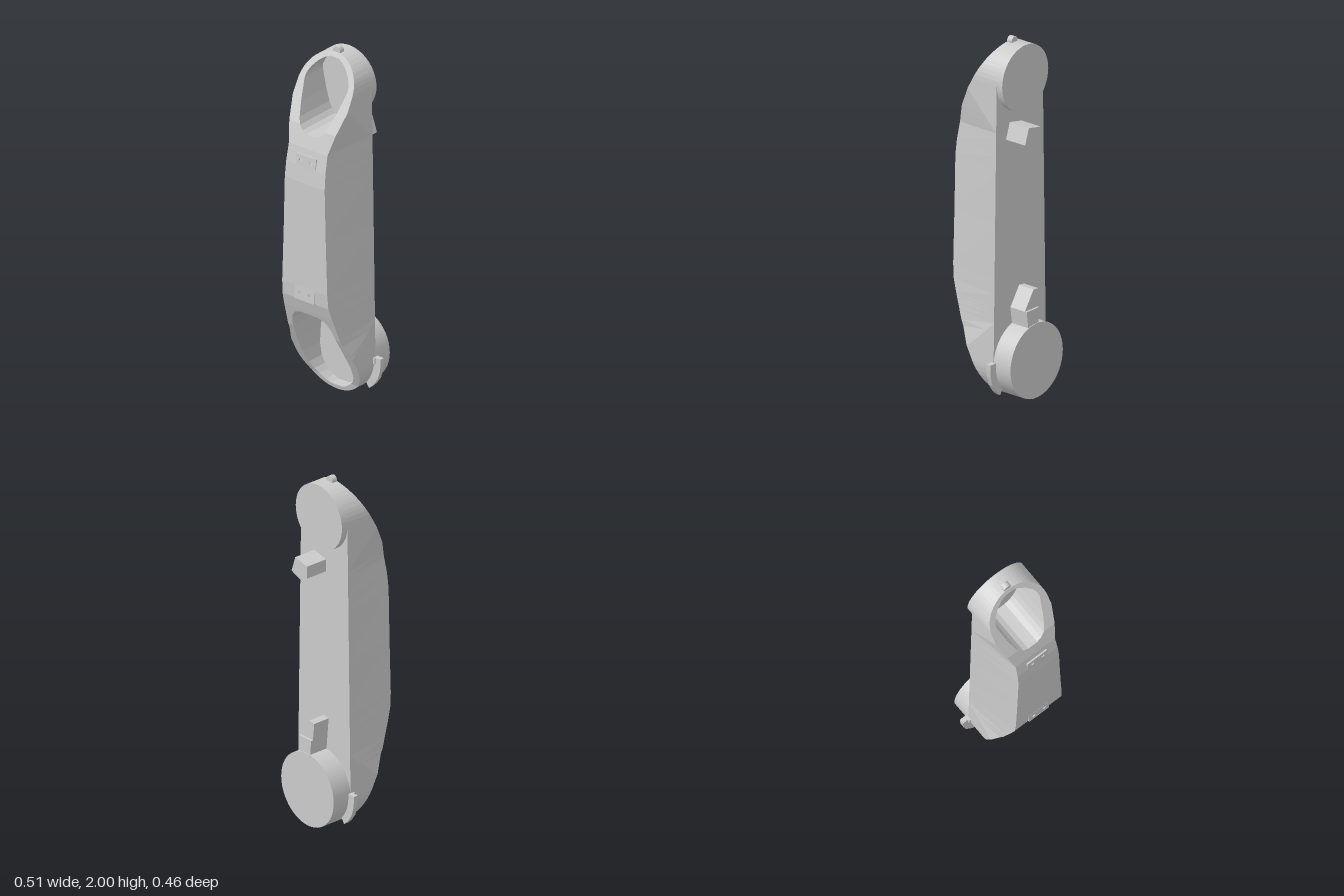
import * as THREE from 'three';

const grey = new THREE.MeshStandardMaterial({ color: 0xcccccc });
const BACK = -0.1, FLOOR = -0.095;
const TOP = { y: 1.785, r: 0.185 }, BOTTOM = { y: 0.21, r: 0.21 };

// front profile: [y, z]
const FRONT = [[0, -0.04], [0.07, -0.02], [0.4, 0.15], [0.54, 0.2], [0.61, 0.222], [0.69, 0.228],
  [1.3, 0.228], [1.39, 0.219], [1.49, 0.2], [1.6, 0.165], [1.97, -0.031]];
// half width of the front face: [y, x]
const FRONT_EDGE = [[0.28, 0.209], [0.37, 0.181], [0.61, 0.156], [1, 0.143], [1.49, 0.131], [1.72, 0.186]];
// where the upright round ends meet the planar slanting sides: [y, z]
const SHOULDER = [[0.28, 0.08], [0.45, BACK], [1.52, BACK], [1.72, 0.1]];
// pocket outlines: [y, half width]
const POCKETS = [
  [[0.027, 0.035], [0.04, 0.07], [0.065, 0.105], [0.09, 0.13], [0.13, 0.152], [0.2, 0.164], [0.3, 0.158],
    [0.4, 0.145], [0.45, 0.135], [0.48, 0.122], [0.505, 0.1], [0.52, 0.06]],
  [[1.56, 0.03], [1.572, 0.06], [1.595, 0.083], [1.63, 0.1], [1.7, 0.121], [1.81, 0.145], [1.835, 0.142],
    [1.87, 0.125], [1.905, 0.095], [1.93, 0.062], [1.945, 0.03]],
];

function lerpTable(table, y) {
  if (y <= table[0][0]) return table[0][1];
  for (let i = 1; i < table.length; i++) {
    const [y0, v0] = table[i - 1], [y1, v1] = table[i];
    if (y <= y1) return v0 + (v1 - v0) * (y - y0) / (y1 - y0);
  }
  return table[table.length - 1][1];
}

// outer half width: two round ends joined by straight tapering sides
function halfWidth(y) {
  const arc = (c) => Math.sqrt(Math.max(0, c.r * c.r - (y - c.y) ** 2));
  if (y < BOTTOM.y) return arc(BOTTOM);
  if (y > TOP.y) return arc(TOP);
  return lerpTable([[BOTTOM.y, BOTTOM.r], [TOP.y, TOP.r]], y);
}

// closed cross-section at height y, pocket included
function section(y) {
  const W = halfWidth(y), f = lerpTable(FRONT, y);
  const w = Math.min(W, lerpTable(FRONT_EDGE, y));
  const pocket = POCKETS.find((p) => y >= p[0][0] && y <= p[p.length - 1][0]);
  const h = pocket ? lerpTable(pocket, y) : 0;
  const floor = pocket ? FLOOR : f;
  const half = [[W, BACK], [W, Math.min(lerpTable(SHOULDER, y), f)], [w, f], [h, f], [h, floor]];
  const left = half.map(([x, z]) => [-x, z]).reverse();
  return [[0, BACK], ...half, [0, floor], ...left].map(([x, z]) => new THREE.Vector3(x, y, z));
}

function bodyGeometry() {
  const ys = [...FRONT, ...FRONT_EDGE, ...SHOULDER].map((p) => p[0]);
  for (let i = 0; i <= 12; i++) {
    const c = Math.cos(i / 12 * Math.PI / 2);
    ys.push(BOTTOM.y - BOTTOM.r * c, TOP.y + TOP.r * c);
  }
  for (const p of POCKETS) {
    ys.push(p[0][0] - 0.0005, p[p.length - 1][0] + 0.0005, ...p.map((q) => q[0]));
  }
  ys.sort((a, b) => a - b);
  const rows = ys.filter((y, i) => i === 0 || y - ys[i - 1] > 1e-5).map(section);
  const pos = [];
  const tri = (a, b, c) => {
    if (new THREE.Triangle(a, b, c).getArea() > 1e-9) for (const v of [a, b, c]) pos.push(v.x, v.y, v.z);
  };
  for (let r = 0; r + 1 < rows.length; r++) {
    const A = rows[r], B = rows[r + 1];
    for (let i = 0; i < A.length; i++) {
      const j = (i + 1) % A.length;
      tri(A[i], B[i], A[j]);
      tri(A[j], B[i], B[j]);
    }
  }
  // unshared corners give flat facets
  const g = new THREE.BufferGeometry();
  g.setAttribute('position', new THREE.Float32BufferAttribute(pos, 3));
  g.computeVertexNormals();
  return g;
}

// flat outline in x, y pushed from z0 to z1
function prism(points, z0, z1, holes = []) {
  const shape = new THREE.Shape(points.map(([x, y]) => new THREE.Vector2(x, y)));
  for (const [x, y, r] of holes) shape.holes.push(new THREE.Path().absarc(x, y, r, 0, Math.PI * 2, true));
  const g = new THREE.ExtrudeGeometry(shape, { depth: z1 - z0, bevelEnabled: false, curveSegments: 8 });
  return g.translate(0, 0, z0);
}

function disc(r, y, z0, z1, sides = 48) {
  return new THREE.CylinderGeometry(r, r, z1 - z0, sides).rotateX(Math.PI / 2).translate(0, y, (z0 + z1) / 2);
}

export function createModel() {
  const model = new THREE.Group();
  const add = (name, geometry) => {
    const mesh = new THREE.Mesh(geometry, grey);
    mesh.name = name;
    model.add(mesh);
    return mesh;
  };

  add('armBody', bodyGeometry());

  // round bosses on the back and the small nub on top
  add('upperBoss', disc(TOP.r, TOP.y, -0.138, -0.099));
  add('lowerBoss', disc(BOTTOM.r, BOTTOM.y, -0.217, -0.099));
  add('topNub', disc(0.024, 1.976, -0.065, -0.033, 20));

  // faceted peg behind the upper end
  add('backPeg', prism([[-0.015, 1.46], [0.03, 1.43], [0.11, 1.46], [0.08, 1.55], [-0.015, 1.53]], -0.232, -0.099));

  // leaning catch above the lower boss
  add('catchNeck', prism([[-0.015, 0.39], [0.06, 0.39], [0.075, 0.503], [-0.025, 0.503]], -0.213, -0.099));
  add('catchTip', prism([[-0.025, 0.503], [0.075, 0.503], [0.005, 0.608], [-0.035, 0.603]], -0.2, -0.099));

  // thin plates, nearly flush, with two screw holes each
  const plate = (name, y, z, height, tilt) => {
    const h = height / 2;
    const outline = [[-0.067, -h], [0.067, -h], [0.067, h], [-0.067, h]];
    const mesh = add(name, prism(outline, -0.012, 0, [[-0.035, 0, 0.011], [0.035, 0, 0.011]]));
    mesh.position.set(0, y, z);
    mesh.rotation.x = tilt;
  };
  plate('upperPlate', 1.422, 0.218, 0.066, -0.08);
  plate('lowerPlate', 0.652, 0.2297, 0.08, -0.03);

  // curved side clips with a small rib
  for (const s of [1, -1]) {
    const clip = [[0.195, 0.23], [0.195, 0.14], [0.15, 0.08], [0.175, 0.04], [0.205, 0.067],
      [0.235, 0.11], [0.25, 0.16], [0.254, 0.2], [0.254, 0.23]].map(([x, y]) => [x * s, y]);
    const side = s > 0 ? 'left' : 'right';
    add(side + 'Clip', prism(clip, -0.115, -0.088));
    add(side + 'ClipRib', new THREE.BoxGeometry(0.025, 0.035, 0.03).translate(0.208 * s, 0.2125, -0.093));
  }
  return model;
}
